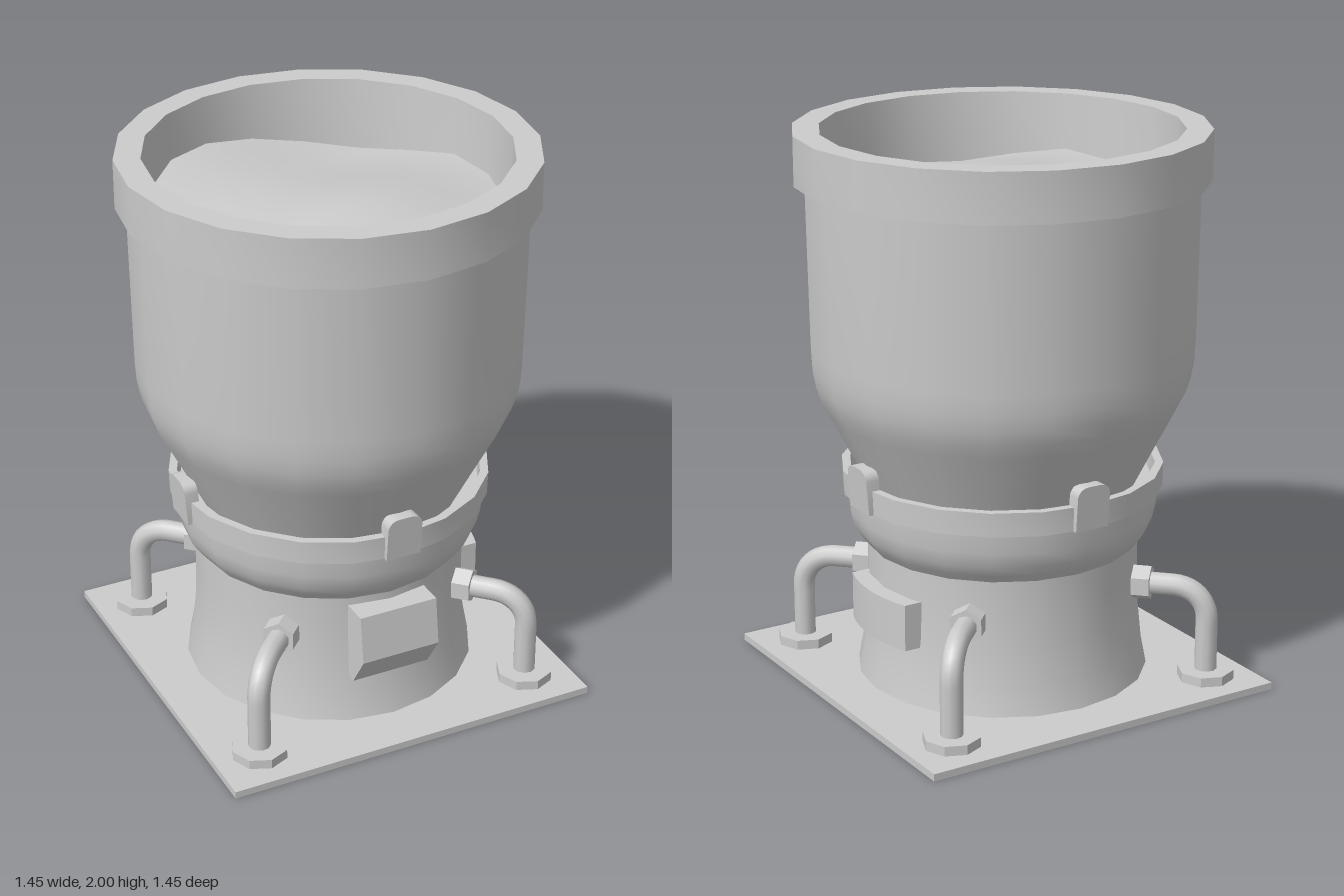
import * as THREE from 'three';
import { toCreasedNormals } from 'three/addons/utils/BufferGeometryUtils.js';

const SIDES = 20;

export function createModel() {
  const model = new THREE.Group();
  const material = new THREE.MeshStandardMaterial({ color: 0xcccccc, side: THREE.DoubleSide });

  const add = (name, geometry, parent = model, crease = 0.6) => {
    const mesh = new THREE.Mesh(toCreasedNormals(geometry, crease), material);
    mesh.name = name;
    parent.add(mesh);
    return mesh;
  };
  const lathe = (name, points) =>
    add(name, new THREE.LatheGeometry(points.map(([r, y]) => new THREE.Vector2(r, y)), SIDES));
  const polygon = points => new THREE.Shape(points.map(([x, y]) => new THREE.Vector2(x, y)));
  const extrude = (shape, depth) =>
    new THREE.ExtrudeGeometry(shape, { depth, bevelEnabled: false, curveSegments: 6 });

  // Square ground plate
  add('basePlate', new THREE.BoxGeometry(1.4, 0.026, 1.4)).position.y = 0.013;

  // Pedestal flowing up into the collar, with an open groove at the top
  lathe('pedestalAndCollar', [
    [0.525, 0.026], [0.505, 0.13], [0.491, 0.27], [0.487, 0.4], [0.487, 0.515],
    [0.51, 0.545], [0.537, 0.585], [0.55, 0.64], [0.556, 0.705],
    [0.572, 0.71], [0.575, 0.797], [0.545, 0.797], [0.54, 0.73], [0.47, 0.73],
  ]);

  // Vessel wall and overhanging rim, inside and out
  lathe('vessel', [
    [0.48, 0.73], [0.513, 0.795], [0.566, 0.9], [0.62, 1.005], [0.648, 1.06], [0.664, 1.11],
    [0.675, 1.17], [0.679, 1.24], [0.688, 1.825], [0.725, 1.825], [0.725, 2],
    [0.632, 2], [0.615, 1.65],
  ]);

  // Uneven fill inside the vessel
  const fill = new THREE.RingGeometry(0.001, 0.62, SIDES, 8).rotateX(-Math.PI / 2);
  const p = fill.attributes.position;
  for (let i = 0; i < p.count; i++) {
    const x = p.getX(i), z = p.getZ(i);
    p.setY(i, 1.79 + 0.028 * Math.sin(7 * z + 3 * x + 0.6) + 0.022 * Math.cos(5 * x - 3 * z));
  }
  add('fill', fill, model, 1.5);

  // Four round-topped clips over the collar
  const clip = new THREE.Shape();
  clip.moveTo(-0.065, 0.71);
  clip.lineTo(0.065, 0.71);
  clip.lineTo(0.065, 0.835);
  clip.quadraticCurveTo(0.06, 0.87, 0.02, 0.87);
  clip.lineTo(-0.02, 0.87);
  clip.quadraticCurveTo(-0.06, 0.87, -0.065, 0.835);
  for (let i = 0; i < 4; i++) {
    const geometry = extrude(clip, 0.05);
    const q = geometry.attributes.position;
    for (let j = 0; j < q.count; j++) q.setZ(j, q.getZ(j) + 0.535 + (q.getY(j) - 0.79) * 0.08);
    add('clip', geometry.rotateY(i * Math.PI / 2));
  }

  // Wedge-fronted control box on the front
  const box = extrude(polygon([[0.42, 0.195], [0.505, 0.195], [0.582, 0.315], [0.558, 0.487], [0.42, 0.487]]), 0.296);
  add('controlBox', box.rotateY(-Math.PI / 2).translate(0.143, 0, 0), model, 0.2);

  // Curved panel on the left side
  const arc = new THREE.Shape();
  arc.absarc(0, 0, 0.545, -0.35, 0.35, false);
  arc.lineTo(0.4, 0.187);
  arc.lineTo(0.4, -0.187);
  add('sidePanel', extrude(arc, 0.17).rotateX(-Math.PI / 2).translate(0, 0.235, 0));

  // Four corner pipes, each with a floor flange and a hex nut at the pedestal
  for (let i = 0; i < 4; i++) {
    const pipe = new THREE.Group();
    pipe.name = 'cornerPipe';
    pipe.rotation.y = Math.PI / 4 + i * Math.PI / 2;
    model.add(pipe);

    const path = new THREE.CurvePath();
    const v = (y, z) => new THREE.Vector3(0, y, z);
    path.add(new THREE.LineCurve3(v(0.03, 0.75), v(0.25, 0.75)));
    path.add(new THREE.CubicBezierCurve3(v(0.25, 0.75), v(0.32, 0.75), v(0.37, 0.7), v(0.37, 0.625)));
    path.add(new THREE.LineCurve3(v(0.37, 0.625), v(0.37, 0.45)));
    add('tube', new THREE.TubeGeometry(path, 30, 0.04, 10, false), pipe, 0.9);
    add('flange', new THREE.CylinderGeometry(0.102, 0.102, 0.036, 8), pipe, 0.2).position.set(0, 0.043, 0.75);
    const nut = new THREE.CylinderGeometry(0.063, 0.063, 0.065, 6).rotateX(Math.PI / 2);
    add('nut', nut, pipe, 0.2).position.set(0, 0.37, 0.515);
  }
  return model;
}
